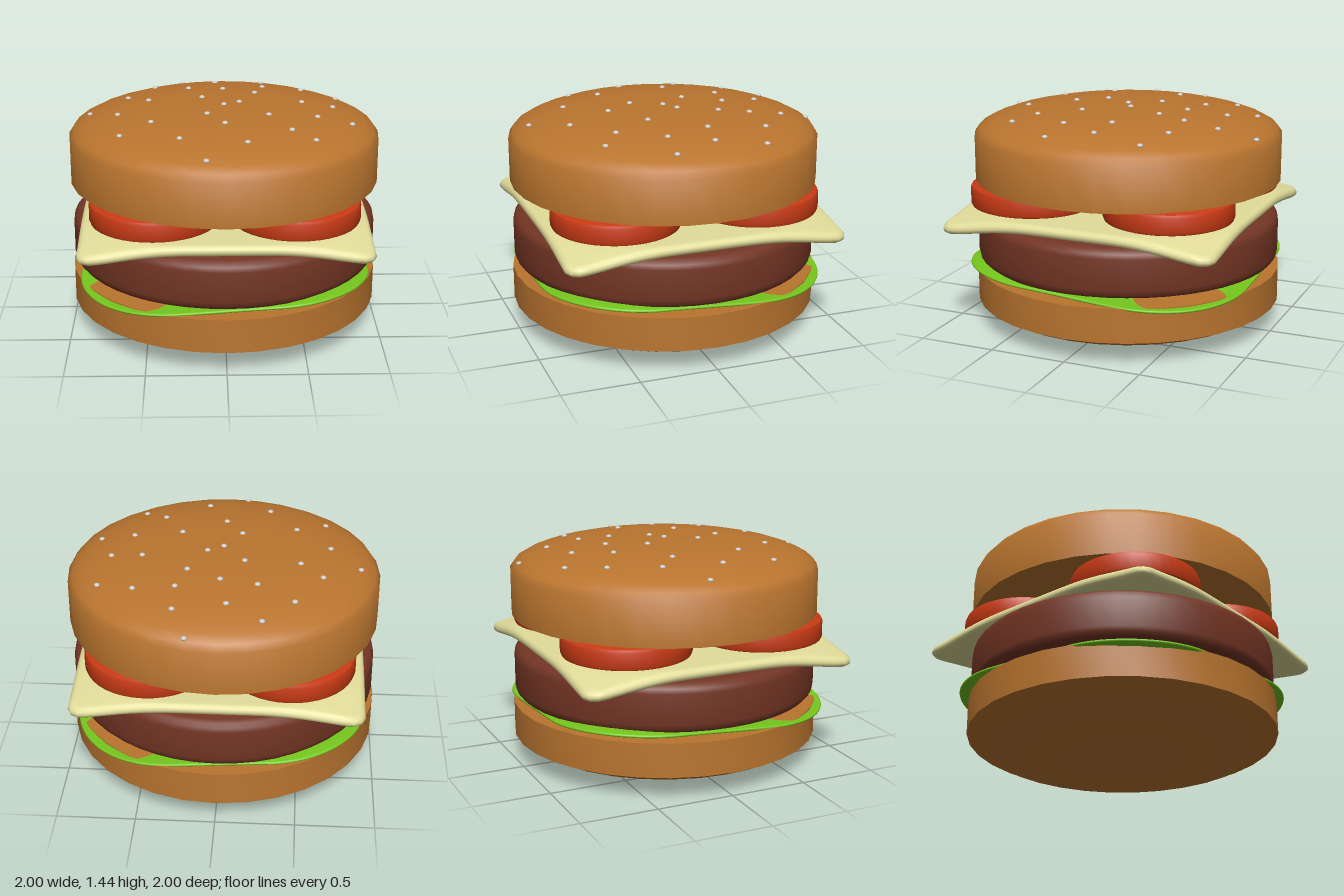
import * as THREE from 'three';
import { mergeVertices, toCreasedNormals } from 'three/addons/utils/BufferGeometryUtils.js';

const material = (color) => new THREE.MeshStandardMaterial({ color });
const points = (list) => list.map(([x, y]) => new THREE.Vector2(x, y));

function addMesh(group, name, geometry, mat) {
  const mesh = new THREE.Mesh(geometry, mat);
  mesh.name = name;
  group.add(mesh);
  return mesh;
}

// Round part: profile runs from bottom centre outwards to top centre
function turned(profile, segments = 32) {
  return toCreasedNormals(new THREE.LatheGeometry(points(profile), segments), 0.7);
}

// Distance from the centre to the edge of a rounded square in direction a
function squareEdge(a, half, corner) {
  const c = Math.max(Math.abs(Math.cos(a)), Math.abs(Math.sin(a)));
  const s = Math.min(Math.abs(Math.cos(a)), Math.abs(Math.sin(a)));
  const k = half - corner;
  if ((half * s) / c <= k) return half / c;
  const b = k * (c + s);
  return b + Math.sqrt(Math.max(0, b * b - 2 * k * k + corner * corner));
}

// Thin rounded-square slice, bent by height(x, z)
function slice(half, corner, thickness, height) {
  const t = thickness / 2;
  const profile = [];
  const rings = 28;
  const inner = 1 - t / half;
  for (let i = 0; i <= rings; i++) profile.push([(inner * i) / rings, -t]);
  for (let i = 1; i < 6; i++) {
    const a = -Math.PI / 2 + (i * Math.PI) / 6;
    profile.push([inner + (1 - inner) * Math.cos(a), t * Math.sin(a)]);
  }
  for (let i = rings; i >= 0; i--) profile.push([(inner * i) / rings, t]);

  const lathe = new THREE.LatheGeometry(points(profile), 160);
  lathe.deleteAttribute('uv');
  lathe.deleteAttribute('normal');
  const pos = lathe.attributes.position;
  for (let i = 0; i < pos.count; i++) {
    const edge = squareEdge(Math.atan2(pos.getX(i), pos.getZ(i)), half, corner);
    const x = pos.getX(i) * edge;
    const z = pos.getZ(i) * edge;
    pos.setXYZ(i, x, pos.getY(i) + height(x, z), z);
  }
  const geometry = mergeVertices(lathe, 1e-5);
  geometry.computeVertexNormals();
  return geometry;
}

// Crown of the bun: radius and height from the rim to the middle
const CROWN = [
  [1, 1.245], [0.97, 1.288], [0.91, 1.322], [0.82, 1.354], [0.7, 1.382],
  [0.55, 1.403], [0.38, 1.416], [0.2, 1.424], [0, 1.427],
];

function crownHeight(r) {
  const i = CROWN.findIndex(([radius]) => radius <= r);
  if (i < 1) return CROWN[0][1];
  const [r0, y0] = CROWN[i - 1];
  const [r1, y1] = CROWN[i];
  return y0 + ((y1 - y0) * (r0 - r)) / (r0 - r1);
}

const SEEDS = [
  [0.18, -0.93], [-0.27, -0.79], [-0.05, -0.66], [0.27, -0.71], [-0.46, -0.59],
  [-0.23, -0.45], [0, -0.41], [0.27, -0.49], [0.53, -0.49], [0.76, -0.4],
  [-0.63, -0.3], [0.21, -0.3], [-0.49, -0.17], [-0.14, -0.18], [-0.87, -0.1],
  [0.1, -0.06], [0.51, -0.11], [0.71, -0.08], [0, 0], [-0.68, 0.08],
  [-0.11, 0.19], [0.28, 0.2], [0.59, 0.18], [0.81, 0.2], [-0.46, 0.3],
  [0, 0.37], [-0.65, 0.45], [0.41, 0.45], [0.55, 0.56], [-0.28, 0.59],
  [0.13, 0.66], [-0.12, 0.86],
];

export function createModel() {
  const model = new THREE.Group();
  model.name = 'burger';
  const bun = material(0xba752f);

  // Buns: the bottom one is an upside-down crown
  const flipped = CROWN.map(([r, y]) => [r, 1.427 - y]).reverse();
  flipped[flipped.length - 1][1] = 0.15;
  addMesh(model, 'bottomBun', turned([...flipped, [1, 0.37], [0, 0.37]]), bun);
  addMesh(model, 'topBun', turned([[0, 0.96], [1, 0.96], ...CROWN]), bun);

  // Wavy lettuce leaf
  const wave = (x, z) => 0.392 + 0.043 * Math.sin(2.6 * x) * Math.sin(2.6 * z);
  addMesh(model, 'lettuce', slice(0.93, 0.62, 0.02, wave), material(0x76c81e));

  // Patty with rounded rims
  addMesh(model, 'patty', turned([
    [0, 0.42], [0.93, 0.42], [0.962, 0.428], [0.982, 0.45], [0.988, 0.48],
    [0.988, 0.675], [0.982, 0.705], [0.962, 0.727], [0.93, 0.735], [0, 0.735],
  ], 48), material(0x733524));

  // Cheese slice with drooping corners
  const droop = (x, z) => 0.775 - 0.062 * THREE.MathUtils.smoothstep(Math.hypot(x, z), 0.92, 1.27);
  addMesh(model, 'cheese', slice(0.91, 0.08, 0.07, droop), material(0xe2dd9a));

  // Four tomato slices
  const tomatoGeometry = turned([
    [0, 0], [0.385, 0], [0.403, 0.007], [0.41, 0.025],
    [0.41, 0.113], [0.403, 0.131], [0.385, 0.138], [0, 0.138],
  ], 40);
  const tomatoRed = material(0xc83a14);
  for (const x of [-0.442, 0.438]) {
    for (const z of [-0.46, 0.465]) {
      addMesh(model, 'tomatoSlice', tomatoGeometry, tomatoRed).position.set(x, 0.818, z);
    }
  }

  // Seeds scattered on the crown
  const seeds = new THREE.Group();
  seeds.name = 'seeds';
  const seedGeometry = new THREE.SphereGeometry(0.019, 14, 10);
  const seedGrey = material(0xcccccc);
  for (const [x, z] of SEEDS) {
    const seed = addMesh(seeds, 'seed', seedGeometry, seedGrey);
    seed.position.set(x, crownHeight(Math.hypot(x, z)), z);
    seed.scale.y = 0.7;
  }
  model.add(seeds);
  return model;
}
